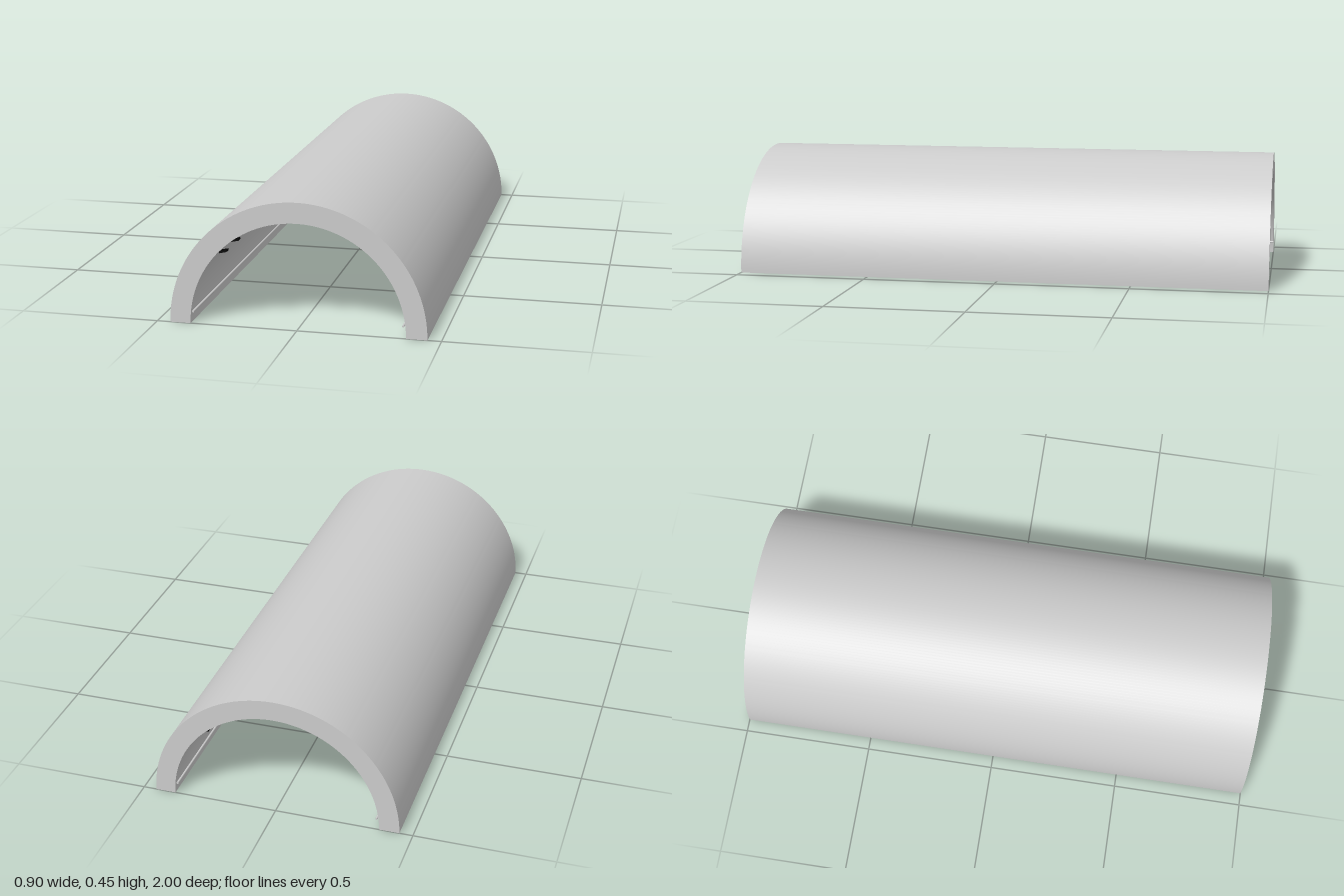
import * as THREE from 'three';
import { toCreasedNormals } from 'three/addons/utils/BufferGeometryUtils.js';

const LENGTH = 2, OUTER = 0.452, INNER = 0.379;
const LAMPS = 14;

export function createModel() {
  const group = new THREE.Group();
  const grey = new THREE.MeshStandardMaterial({ color: 0xcccccc });
  const black = new THREE.MeshStandardMaterial({ color: 0x050505 });

  const add = (geometry, material, name, x = 0, y = 0, z = 0) => {
    const mesh = new THREE.Mesh(geometry, material);
    mesh.name = name;
    mesh.position.set(x, y, z);
    group.add(mesh);
    return mesh;
  };

  // Half-round vault, open underneath and at both ends
  const arch = new THREE.Shape();
  arch.absarc(0, 0, OUTER, 0, Math.PI, false);
  arch.absarc(0, 0, INNER, Math.PI, 0, true);
  arch.closePath();
  const vault = new THREE.ExtrudeGeometry(arch, { depth: LENGTH, bevelEnabled: false, curveSegments: 64 });
  vault.translate(0, 0, -LENGTH / 2);
  add(toCreasedNormals(vault, 0.6), grey, 'tunnelVault');

  const pipe = new THREE.CylinderGeometry(0.004, 0.004, LENGTH, 16).rotateX(Math.PI / 2);
  const lamp = new THREE.BoxGeometry(0.027, 0.006, 0.028);

  for (const side of [1, -1]) {
    const label = side > 0 ? 'left' : 'right';

    // Thin pipe along the foot of each wall
    add(pipe, grey, `${label}Pipe`, side * 0.369, 0.043);

    // Row of small tilted lamps along each haunch
    for (let i = 0; i < LAMPS; i++) {
      const z = (i - (LAMPS - 1) / 2) * LENGTH / LAMPS;
      add(lamp, black, `${label}Lamp${i + 1}`, side * 0.276, 0.247, z).rotation.z = -side * 0.22;
    }
  }

  return group;
}
